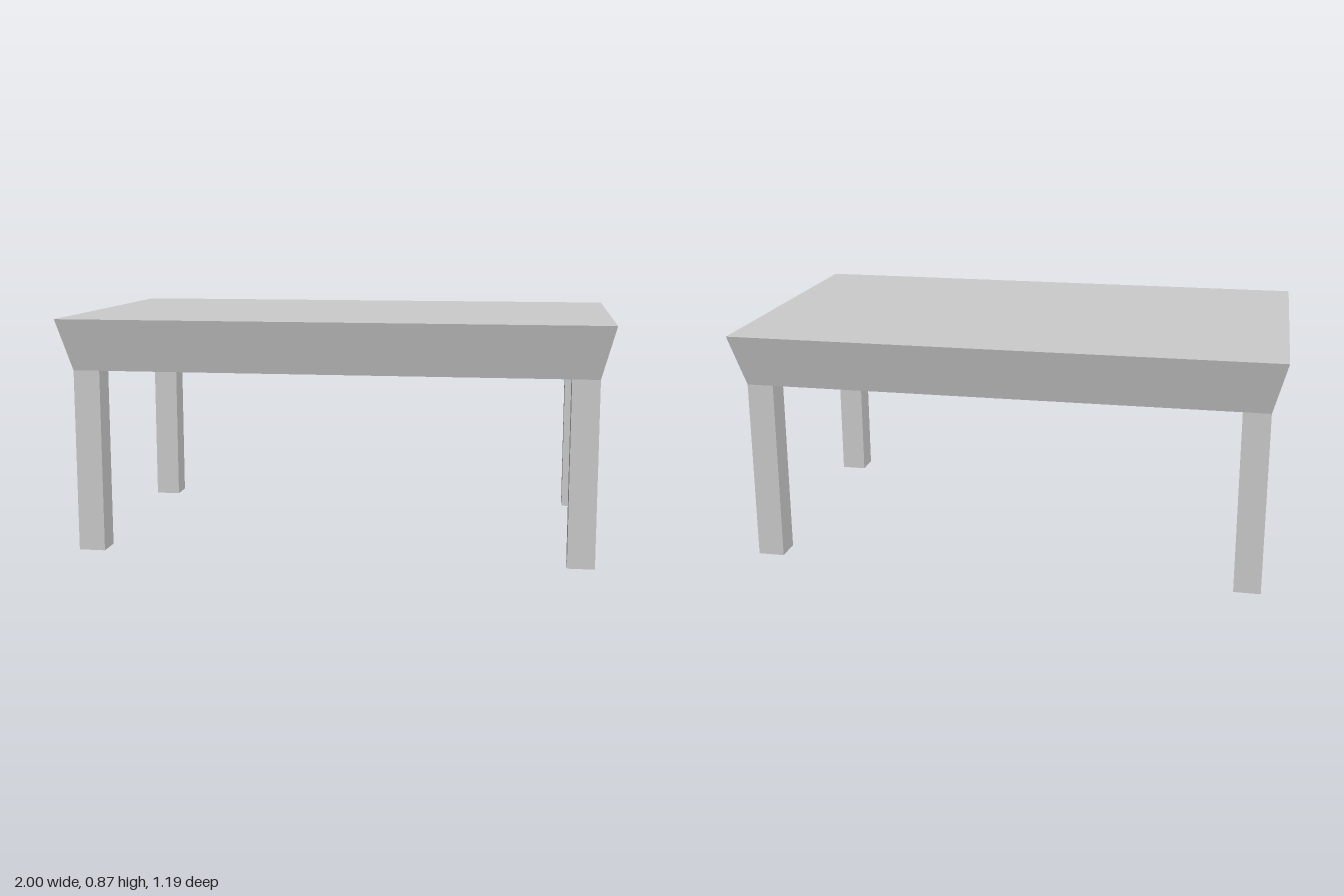
import * as THREE from 'three';

const HEIGHT = 0.868, LEG_HEIGHT = 0.677, LEG = 0.098;
const TOP = { x: 1, z: 0.594 };          // half sizes of the upper face
const BASE = { x: 0.951, z: 0.545 };     // half sizes of the lower face

export function createModel() {
  const table = new THREE.Group();
  table.name = 'table';
  const material = new THREE.MeshStandardMaterial({ color: 0xcccccc, flatShading: true });

  // Thick solid top whose sides taper inward towards the legs
  const slab = new THREE.BoxGeometry(2 * TOP.x, HEIGHT - LEG_HEIGHT, 2 * TOP.z);
  const p = slab.attributes.position;
  for (let i = 0; i < p.count; i++) {
    if (p.getY(i) < 0) {
      p.setX(i, Math.sign(p.getX(i)) * BASE.x);
      p.setZ(i, Math.sign(p.getZ(i)) * BASE.z);
    }
  }
  slab.computeVertexNormals();
  const top = new THREE.Mesh(slab, material);
  top.name = 'tableTop';
  top.position.y = (HEIGHT + LEG_HEIGHT) / 2;
  table.add(top);

  // Four square legs flush with the corners of the lower face
  const legGeometry = new THREE.BoxGeometry(LEG, LEG_HEIGHT, LEG);
  for (const [sx, side] of [[1, 'Left'], [-1, 'Right']]) {
    for (const [sz, end] of [[1, 'front'], [-1, 'back']]) {
      const leg = new THREE.Mesh(legGeometry, material);
      leg.name = `${end}${side}Leg`;
      leg.position.set(sx * (BASE.x - LEG / 2), LEG_HEIGHT / 2, sz * (BASE.z - LEG / 2));
      table.add(leg);
    }
  }
  return table;
}
